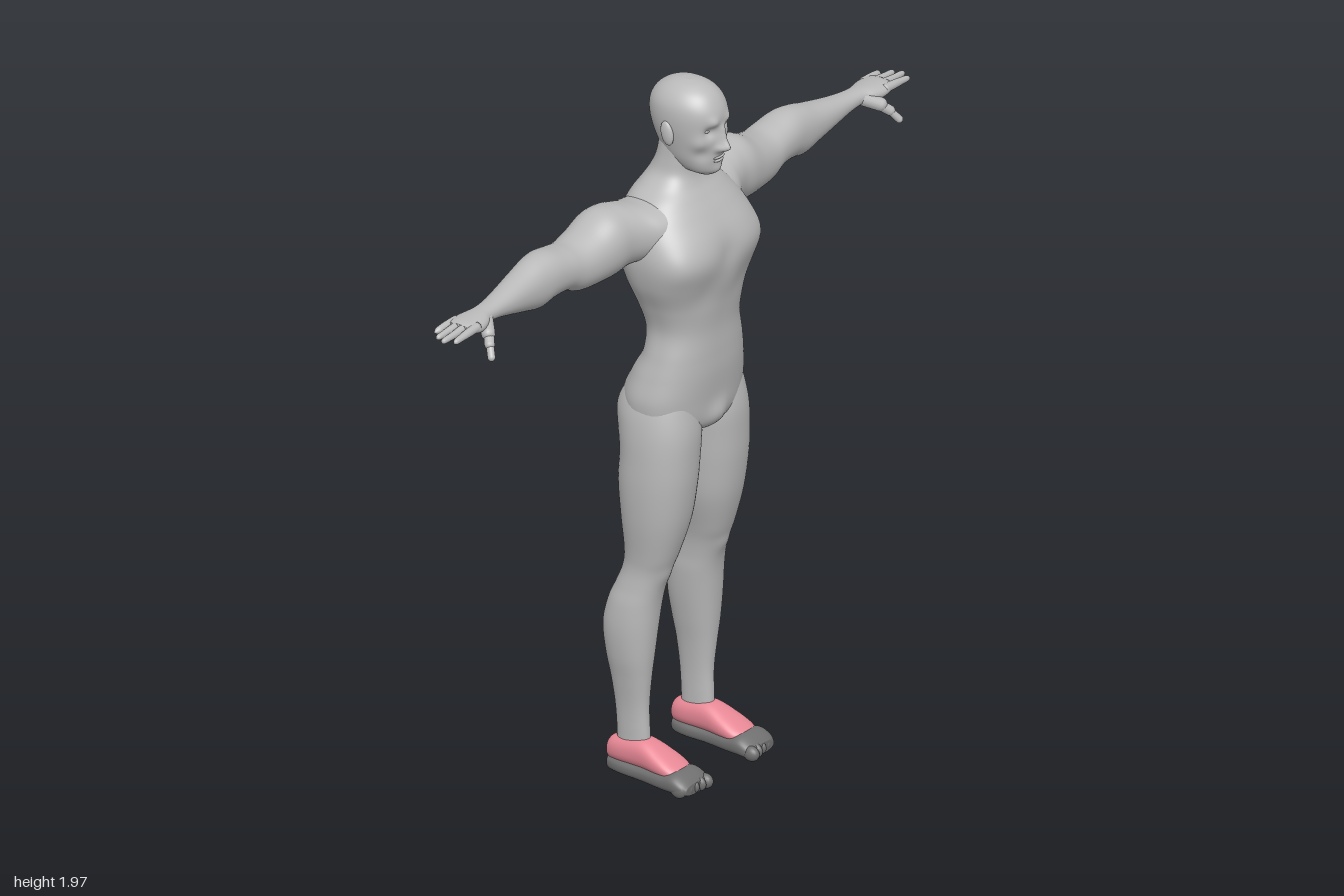
import * as THREE from 'three';

const skin = new THREE.MeshStandardMaterial({ name: 'skin grey', color: 0xbababa });
const pink = new THREE.MeshStandardMaterial({ name: 'shoe pink', color: 0xee8c9a });
const dark = new THREE.MeshStandardMaterial({ name: 'sole dark grey', color: 0x707070 });

// Axis layouts: t runs along the loft, a and b span each cross-section.
const UP = { put: (t, a, b) => [a, t, b], flip: false };
const SIDE = { put: (t, a, b) => [t, a, b], flip: true };
const FORWARD = { put: (t, a, b) => [a, b, t], flip: true };

const spline = (a, b, c, d, u) =>
  0.5 * (2 * b + (c - a) * u + (2 * a - 5 * b + 4 * c - d) * u * u + (3 * b - a - 3 * c + d) * u * u * u);
const rounded = (v, power) => Math.sign(v) * Math.abs(v) ** power;

// Smooth skin through sections [t, aMin, aMax, bMin, bMax]; bumps push the surface: [x, y, z, radius, dx, dy, dz].
function loft(sections, axis, { power = 1, bumps = [], sides = 40, steps = 6 } = {}) {
  const rows = [];
  const last = sections.length - 1;
  for (let s = 0; s < last; s++) {
    for (let k = 0; k < steps; k++) {
      const [p, q, r, w] = [s - 1, s, s + 1, s + 2].map(i => sections[Math.min(last, Math.max(0, i))]);
      rows.push(q.map((_, c) => spline(p[c], q[c], r[c], w[c], k / steps)));
    }
  }
  rows.push(sections[last]);
  const pos = [], index = [];
  const add = p => {
    const side = p[0] < 0 ? -1 : 1;
    const out = [...p];
    for (const [x, y, z, radius, dx, dy, dz] of bumps) {
      const d2 = (Math.abs(p[0]) - x) ** 2 + (p[1] - y) ** 2 + (p[2] - z) ** 2;
      const f = Math.exp(-d2 / (radius * radius));
      out[0] += side * dx * f; out[1] += dy * f; out[2] += dz * f;
    }
    pos.push(...out);
  };
  const tri = (a, b, c) => axis.flip ? index.push(a, c, b) : index.push(a, b, c);
  rows.forEach(([t, a0, a1, b0, b1], j) => {
    for (let i = 0; i < sides; i++) {
      const angle = i / sides * Math.PI * 2;
      add(axis.put(t, (a0 + a1) / 2 + (a1 - a0) / 2 * rounded(Math.cos(angle), power),
        (b0 + b1) / 2 + (b1 - b0) / 2 * rounded(Math.sin(angle), power)));
      if (j === rows.length - 1) continue;
      const p = j * sides + i, q = j * sides + (i + 1) % sides;
      tri(p, p + sides, q);
      tri(q, p + sides, q + sides);
    }
  });
  // End caps
  for (const j of [0, rows.length - 1]) {
    const [t, a0, a1, b0, b1] = rows[j];
    const centre = pos.length / 3;
    add(axis.put(t, (a0 + a1) / 2, (b0 + b1) / 2));
    for (let i = 0; i < sides; i++) {
      const p = j * sides + i, q = j * sides + (i + 1) % sides;
      if (j === 0) tri(centre, p, q); else tri(centre, q, p);
    }
  }
  const geo = new THREE.BufferGeometry();
  geo.setAttribute('position', new THREE.Float32BufferAttribute(pos, 3));
  geo.setIndex(index);
  geo.computeVertexNormals();
  return geo;
}

const blob = (x, y, z, rx, ry, rz, tilt = 0) =>
  new THREE.SphereGeometry(1, 20, 14).scale(rx, ry, rz).rotateX(tilt).translate(x, y, z);

function capsule(from, to, radius) {
  const a = new THREE.Vector3(...from), b = new THREE.Vector3(...to);
  const dir = b.clone().sub(a);
  const turn = new THREE.Quaternion().setFromUnitVectors(new THREE.Vector3(0, 1, 0), dir.clone().normalize());
  return new THREE.CapsuleGeometry(radius, dir.length(), 6, 14).applyQuaternion(turn)
    .translate(...a.add(b).multiplyScalar(0.5).toArray());
}

function mirrored(geo) {
  const copy = geo.clone().scale(-1, 1, 1);
  const idx = copy.index.array;
  for (let i = 0; i < idx.length; i += 3) [idx[i + 1], idx[i + 2]] = [idx[i + 2], idx[i + 1]];
  return copy;
}

export function createModel() {
  const model = new THREE.Group();
  model.name = 'figure';
  const part = (name, geo, mat = skin) => {
    const mesh = new THREE.Mesh(geo, mat);
    mesh.name = name;
    model.add(mesh);
  };
  const pair = (name, geo, mat) => {
    part('left ' + name, geo, mat);
    part('right ' + name, mirrored(geo), mat);
  };
  const even = rows => rows.map(([y, w, back, front]) => [y, -w, w, back, front]);

  // Torso and neck, with chest, back and hip muscles
  const torsoBumps = [
    [0.10, 1.51, 0.12, 0.075, 0, 0, 0.012], [0, 1.50, 0.135, 0.035, 0, 0, -0.004],
    [0.17, 1.50, 0.08, 0.06, 0.006, 0, 0.016], [0.08, 1.41, 0.12, 0.05, 0, 0, -0.006],
    [0.10, 1.55, -0.15, 0.06, 0, 0, -0.007], [0.085, 1.08, -0.11, 0.06, 0, 0, -0.016],
    [0, 1.03, 0.09, 0.035, 0, 0, 0.014],
  ];
  for (let y = 1.24; y < 1.62; y += 0.04) torsoBumps.push([0, y, -0.08 - (y - 1.24) * 0.22, 0.04, 0, 0, 0.006]);
  for (let y = 1.02; y < 1.13; y += 0.02) torsoBumps.push([0, y, -0.12, 0.024, 0, 0, 0.011]);
  part('torso', loft(even([
    [0.98, 0.02, -0.06, 0.06], [1.0, 0.10, -0.10, 0.083], [1.03, 0.172, -0.12, 0.095],
    [1.09, 0.188, -0.125, 0.102], [1.16, 0.174, -0.106, 0.109], [1.22, 0.158, -0.078, 0.11],
    [1.29, 0.145, -0.078, 0.11], [1.36, 0.162, -0.10, 0.118], [1.43, 0.190, -0.125, 0.13],
    [1.50, 0.203, -0.145, 0.132], [1.56, 0.198, -0.15, 0.118], [1.61, 0.178, -0.146, 0.092],
    [1.65, 0.145, -0.132, 0.065], [1.68, 0.106, -0.115, 0.045], [1.71, 0.078, -0.098, 0.035],
    [1.75, 0.068, -0.08, 0.035], [1.80, 0.064, -0.07, 0.04],
  ]), UP, { power: 0.82, bumps: torsoBumps, sides: 96, steps: 7 }));

  // Head with eye sockets, brows, cheekbones, jaw, chin and nose
  part('head', loft(even([
    [1.715, 0.022, 0.03, 0.08], [1.73, 0.045, -0.02, 0.094], [1.76, 0.062, -0.06, 0.102],
    [1.80, 0.073, -0.085, 0.107], [1.85, 0.083, -0.102, 0.111], [1.89, 0.085, -0.106, 0.111],
    [1.92, 0.079, -0.098, 0.10], [1.945, 0.062, -0.078, 0.08], [1.962, 0.037, -0.047, 0.05],
    [1.969, 0.012, -0.015, 0.018],
  ]), UP, {
    power: 0.95, sides: 120, steps: 10, bumps: [
      [0.033, 1.85, 0.10, 0.018, 0, 0, -0.014], [0.03, 1.873, 0.105, 0.016, 0, 0, 0.008],
      [0.055, 1.815, 0.075, 0.022, 0.004, 0, 0.005], [0, 1.732, 0.09, 0.018, 0, 0, 0.007],
      [0.045, 1.785, 0.08, 0.022, -0.004, 0, -0.005],
      [0, 1.801, 0.107, 0.014, 0, -0.002, 0.027], [0, 1.818, 0.108, 0.013, 0, 0, 0.013],
      [0, 1.835, 0.109, 0.012, 0, 0, 0.010], [0, 1.852, 0.110, 0.011, 0, 0, 0.007],
      [0.015, 1.798, 0.105, 0.009, 0, 0, 0.008],
    ],
  }));
  part('upper lip', blob(0, 1.769, 0.100, 0.023, 0.0045, 0.008));
  part('lower lip', blob(0, 1.760, 0.099, 0.020, 0.0055, 0.008));
  pair('eye', blob(0.033, 1.85, 0.081, 0.014, 0.007, 0.012));
  pair('ear', blob(0.085, 1.838, -0.004, 0.010, 0.034, 0.019, -0.2));

  // Arms, flaring into the chest and running out to the palms
  pair('arm', loft([
    [0.05, 1.52, 1.655, -0.13, 0.07], [0.11, 1.505, 1.655, -0.146, 0.068], [0.16, 1.50, 1.657, -0.154, 0.052],
    [0.20, 1.50, 1.665, -0.158, 0.028],
    [0.24, 1.497, 1.673, -0.16, 0.014], [0.29, 1.488, 1.672, -0.16, 0.01], [0.35, 1.487, 1.645, -0.158, 0],
    [0.41, 1.492, 1.63, -0.154, -0.01],
    [0.46, 1.512, 1.635, -0.15, -0.016], [0.52, 1.512, 1.646, -0.145, -0.02], [0.57, 1.503, 1.643, -0.138, -0.024],
    [0.63, 1.517, 1.628, -0.128, -0.028], [0.70, 1.537, 1.615, -0.112, -0.03], [0.76, 1.553, 1.607, -0.098, -0.032],
    [0.81, 1.560, 1.604, -0.092, -0.030], [0.84, 1.557, 1.603, -0.099, -0.017], [0.87, 1.558, 1.602, -0.105, -0.010],
    [0.90, 1.565, 1.60, -0.103, -0.012], [0.917, 1.574, 1.595, -0.095, -0.02],
  ], SIDE, { power: 0.93, sides: 48 }));

  // Fingers: knuckle z, tip z, tip x
  [[-0.092, -0.098, 0.965], [-0.069, -0.073, 0.99], [-0.046, -0.048, 1], [-0.023, -0.020, 0.985]].forEach(([z0, z1, tip], i) => {
    const ring = (x, r, u) => {
      const z = z0 + (z1 - z0) * u, y = 1.585 - 0.006 * u;
      return [x, y - r, y + r, z - r, z + r];
    };
    pair('finger ' + (i + 1), loft([ring(0.88, 0.0125, 0), ring(0.92, 0.012, 0.3), ring(0.95, 0.010, 0.6),
      ring(tip - 0.008, 0.008, 0.9), ring(tip, 0.003, 1)], SIDE, { sides: 14, steps: 4 }));
  });
  pair('thumb root', capsule([0.815, 1.577, -0.045], [0.85, 1.557, -0.012], 0.019));
  pair('thumb base', capsule([0.845, 1.558, -0.014], [0.868, 1.537, 0.006], 0.014));
  pair('thumb', capsule([0.866, 1.539, 0.005], [0.884, 1.511, 0.024], 0.0105));

  // Legs with kneecaps, calves and lower buttocks
  pair('leg', loft([
    [0.06, 0.112, 0.165, -0.12, -0.02], [0.12, 0.112, 0.166, -0.12, -0.022], [0.20, 0.11, 0.17, -0.125, -0.025],
    [0.28, 0.102, 0.182, -0.135, -0.019], [0.35, 0.09, 0.195, -0.147, -0.012], [0.43, 0.077, 0.202, -0.155, -0.005],
    [0.50, 0.07, 0.198, -0.142, 0.002], [0.55, 0.07, 0.188, -0.122, 0.012], [0.60, 0.066, 0.181, -0.104, 0.026],
    [0.65, 0.055, 0.184, -0.10, 0.047], [0.75, 0.028, 0.198, -0.11, 0.075], [0.85, 0.016, 0.205, -0.118, 0.09],
    [0.93, 0.010, 0.204, -0.115, 0.095], [1.00, 0.004, 0.20, -0.122, 0.096], [1.06, 0.010, 0.190, -0.126, 0.088],
    [1.11, 0.025, 0.172, -0.108, 0.076], [1.16, 0.05, 0.14, -0.07, 0.05],
  ], UP, {
    power: 0.9, sides: 48,
    bumps: [[0.124, 0.59, 0.025, 0.03, 0, 0, 0.007], [0.09, 1.04, -0.12, 0.06, 0, 0, -0.012]],
  }));

  // Feet: dark soles and toes below pink uppers
  pair('sole', loft([
    [-0.142, 0.122, 0.16, 0.012, 0.04], [-0.132, 0.108, 0.172, 0.002, 0.046], [-0.09, 0.098, 0.181, 0, 0.047],
    [-0.02, 0.097, 0.186, 0, 0.048], [0.05, 0.087, 0.198, 0, 0.054], [0.09, 0.082, 0.203, 0, 0.062],
    [0.12, 0.084, 0.201, 0, 0.05], [0.137, 0.095, 0.19, 0.006, 0.036],
  ], FORWARD, { power: 0.78 }), dark);
  pair('shoe upper', loft([
    [-0.143, 0.125, 0.158, 0.045, 0.07], [-0.135, 0.11, 0.17, 0.032, 0.095], [-0.10, 0.100, 0.178, 0.03, 0.107],
    [-0.03, 0.098, 0.181, 0.03, 0.115], [0.03, 0.092, 0.188, 0.03, 0.093], [0.07, 0.094, 0.187, 0.03, 0.073],
    [0.09, 0.108, 0.175, 0.035, 0.062],
  ], FORWARD, { power: 0.86 }), pink);
  for (let i = 0; i < 5; i++) {
    const r = i === 0 ? 0.017 : 0.0125;
    pair('toe ' + (i + 1), blob(0.1 + i * 0.0225, 0.021, 0.130 - i * 0.005, r, 0.021, 0.024), dark);
  }
  return model;
}
